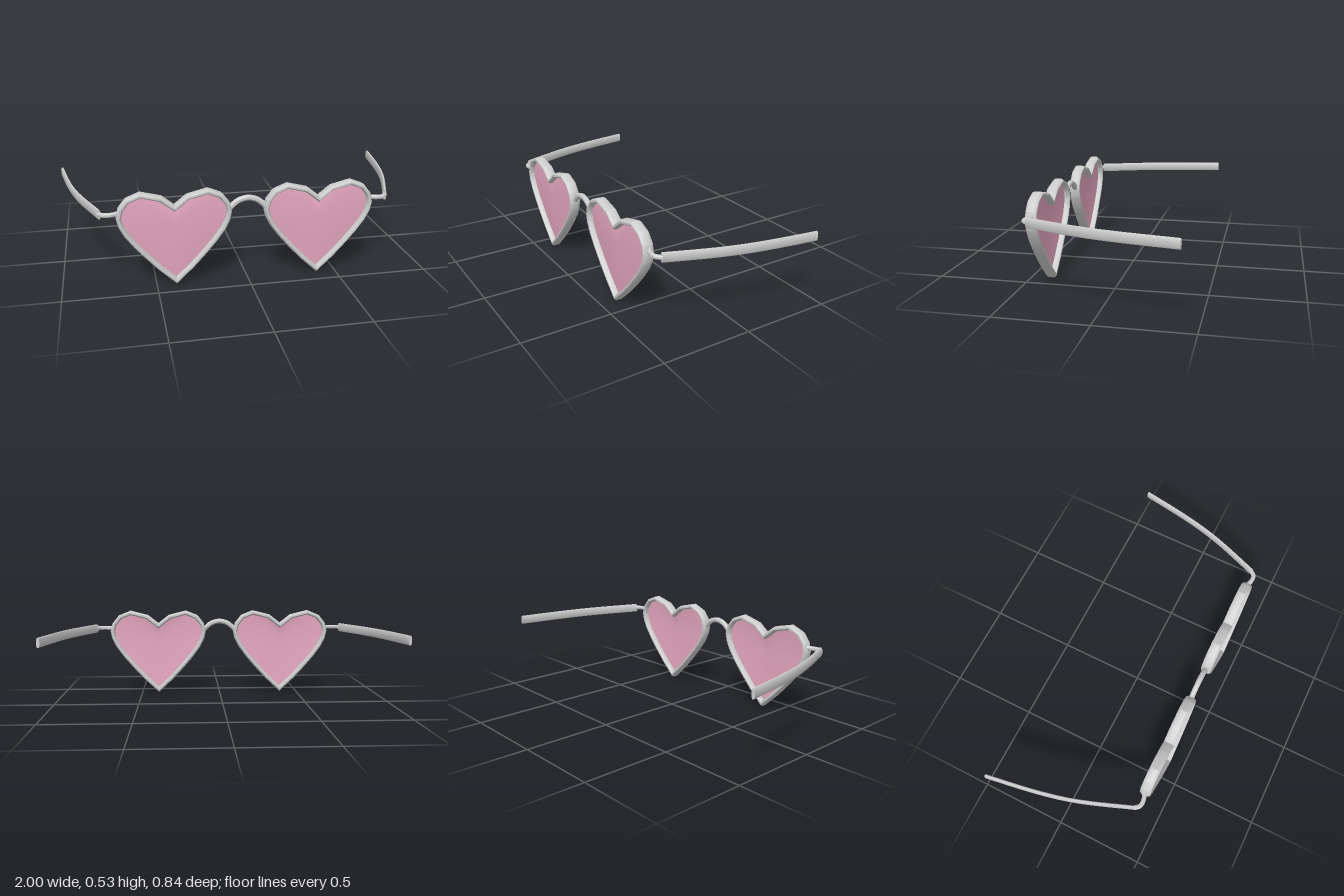
import * as THREE from 'three';
import { toCreasedNormals } from 'three/addons/utils/BufferGeometryUtils.js';

const frameMaterial = new THREE.MeshStandardMaterial({ color: 0xcccccc });
const lensMaterial = new THREE.MeshStandardMaterial({ color: 0xe4a6be, side: THREE.DoubleSide });

// Mitred left-hand normals along a planar path
function miters(path, closed) {
  const n = path.length;
  const normal = (a, b) => new THREE.Vector2(a.y - b.y, b.x - a.x).normalize();
  return path.map((p, i) => {
    const prev = closed ? path[(i + n - 1) % n] : path[i - 1];
    const next = closed ? path[(i + 1) % n] : path[i + 1];
    const n1 = prev ? normal(prev, p) : normal(p, next);
    const n2 = next ? normal(p, next) : n1;
    return n1.clone().add(n2).divideScalar(1 + n1.dot(n2));
  });
}

// Sweep a counter-clockwise section of [offset, depth] pairs along a path in the xy plane
function sweep(path, section, closed = false) {
  const pos = [], idx = [], n = path.length, m = section.length;
  const dirs = miters(path, closed);
  path.forEach((p, i) => section.forEach(([o, d]) => pos.push(p.x + dirs[i].x * o, p.y + dirs[i].y * o, d)));
  for (let i = 0; i < (closed ? n : n - 1); i++) {
    for (let j = 0; j < m; j++) {
      const k = (j + 1) % m, i2 = (i + 1) % n;
      const a = i * m + j, b = i * m + k, c = i2 * m + k, d = i2 * m + j;
      idx.push(a, b, c, a, c, d);
    }
  }
  if (!closed) {
    const e = (n - 1) * m;
    for (let j = 1; j < m - 1; j++) idx.push(0, j + 1, j, e, e + j, e + j + 1);
  }
  const g = new THREE.BufferGeometry();
  g.setAttribute('position', new THREE.Float32BufferAttribute(pos, 3));
  g.setIndex(idx);
  return toCreasedNormals(g, 0.6);
}

// Chamfered rectangular section, counter-clockwise
function chamfered(w, h, cw, ch, shift = 0) {
  return [[w, -h + ch], [w, h - ch], [w - cw, h], [cw - w, h],
    [-w, h - ch], [-w, ch - h], [cw - w, -h], [w - cw, -h]].map(([o, d]) => [o + shift, d]);
}

function round(r, sides) {
  return Array.from({ length: sides }, (_, i) => {
    const a = ((i + 0.5) / sides) * Math.PI * 2;
    return [Math.cos(a) * r, Math.sin(a) * r];
  });
}

// Heart outline, clockwise from the notch
function heartPath() {
  const half = [[0, 0.452], [0.066, 0.504], [0.178, 0.532], [0.252, 0.502], [0.292, 0.452], [0.305, 0.4],
    [0.295, 0.352], [0.268, 0.298], [0.222, 0.235], [0.165, 0.168], [0.095, 0.092], [0, 0.003]];
  const mirrored = half.slice(1, -1).reverse().map(([x, y]) => [-x, y]);
  return [...half, ...mirrored].map(([x, y]) => new THREE.Vector2(x, y));
}

// Shallow domed sheet filling the rim
function lensGeometry(outline) {
  const rings = 4, n = outline.length, cy = 0.34, bulge = 0.01;
  const pos = [0, cy, bulge], idx = [];
  for (let r = 1; r <= rings; r++) {
    const t = r / rings;
    for (const p of outline) pos.push(p.x * t, cy + (p.y - cy) * t, bulge * (1 - t * t));
  }
  for (let j = 0; j < n; j++) {
    const k = (j + 1) % n;
    idx.push(0, 1 + k, 1 + j);
    for (let r = 0; r < rings - 1; r++) {
      const a = 1 + r * n + j, b = 1 + r * n + k;
      idx.push(a, b, b + n, a, b + n, a + n);
    }
  }
  const g = new THREE.BufferGeometry();
  g.setAttribute('position', new THREE.Float32BufferAttribute(pos, 3));
  g.setIndex(idx);
  g.computeVertexNormals();
  return g;
}

function curve2(points, segments) {
  return new THREE.SplineCurve(points.map(([x, y]) => new THREE.Vector2(x, y))).getPoints(segments);
}

export function createModel() {
  const group = new THREE.Group();
  const add = (name, geometry, material, x, y, z) => {
    const mesh = new THREE.Mesh(geometry, material);
    mesh.name = name;
    mesh.position.set(x, y, z);
    group.add(mesh);
  };

  const heart = heartPath();
  const dirs = miters(heart, true);
  const inset = heart.map((p, i) => p.clone().addScaledVector(dirs[i], -0.016));
  const rim = sweep(heart, chamfered(0.013, 0.03, 0.008, 0.013, -0.013), true);
  const lens = lensGeometry(inset);

  for (const [side, s] of [['left', 1], ['right', -1]]) {
    // Rim and lens
    add(side + 'Rim', rim, frameMaterial, 0.393 * s, 0, 0.39);
    add(side + 'Lens', lens, lensMaterial, 0.393 * s, 0, 0.39);

    // Hinge wire and curved temple, swept in plan and laid flat
    const hinge = curve2([[0.685, 0.385], [0.71, 0.397], [0.74, 0.402], [0.765, 0.396], [0.785, 0.372]]
      .map(([x, z]) => [x * s, z]), 10);
    add(side + 'Hinge', sweep(hinge, round(0.013, 8)).rotateX(Math.PI / 2), frameMaterial, 0, 0.422, 0);
    const temple = curve2([[0.782, 0.378], [0.885, 0.1], [0.943, -0.13], [0.991, -0.416]]
      .map(([x, z]) => [x * s, z]), 12);
    add(side + 'Temple', sweep(temple, chamfered(0.009, 0.026, 0.005, 0.009)).rotateX(Math.PI / 2),
      frameMaterial, 0, 0.421, 0);
  }

  // Arched nose bridge
  const bridge = curve2([[-0.1, 0.41], [-0.055, 0.449], [0, 0.464], [0.055, 0.449], [0.1, 0.41]], 14);
  add('bridge', sweep(bridge, round(0.016, 8)), frameMaterial, 0, 0, 0.388);

  return group;
}
